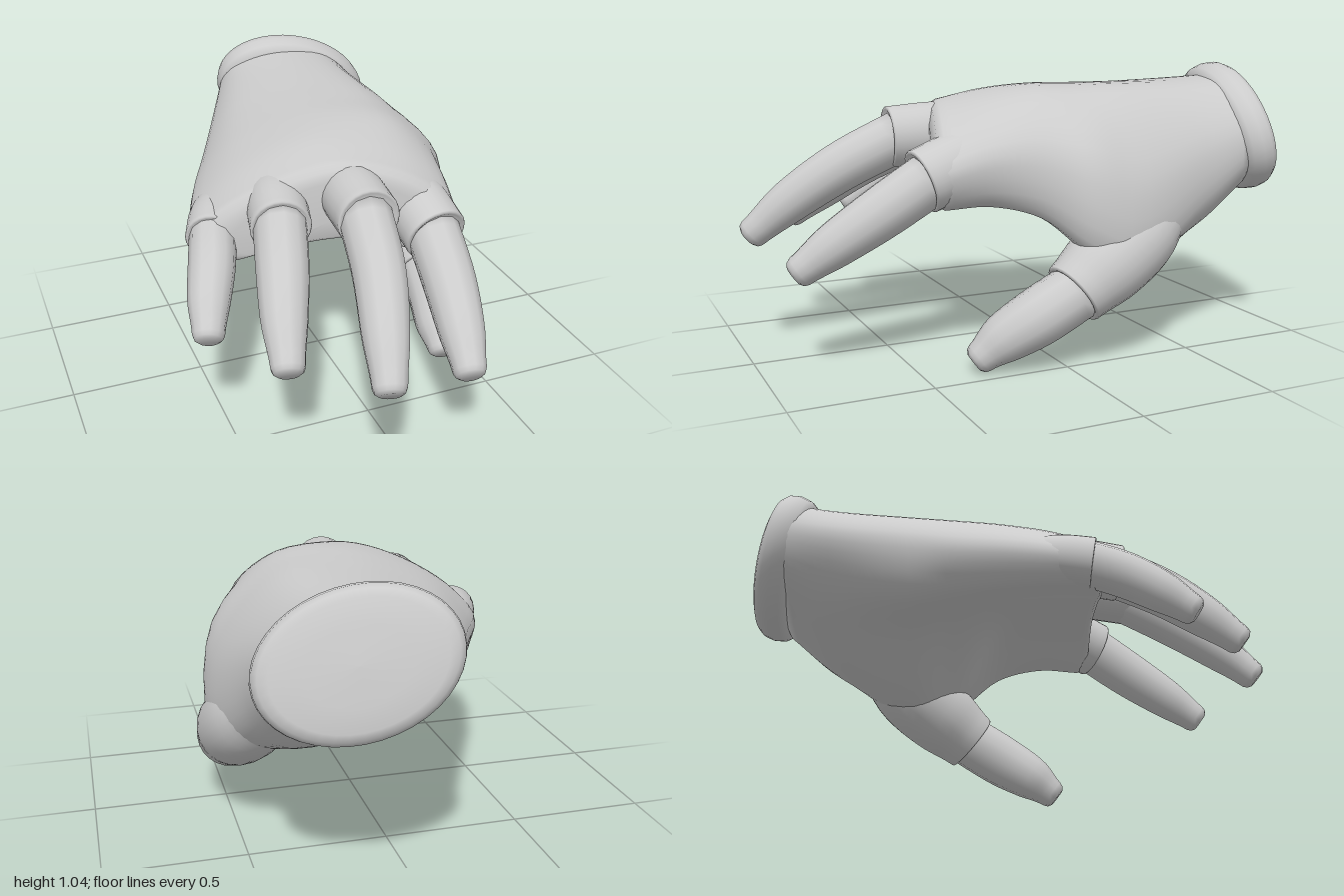
import * as THREE from 'three';

const V = (x, y, z) => new THREE.Vector3(x, y, z);
const material = new THREE.MeshStandardMaterial({ color: 0xcccccc, roughness: 0.8 });

// Skin a list of equal-sized rings (clockwise seen from the far end) and cap both ends
function skin(name, rings) {
  const n = rings[0].length, pos = [], index = [];
  rings.forEach(ring => ring.forEach(p => pos.push(p.x, p.y, p.z)));
  for (let i = 0; i < rings.length - 1; i++) {
    for (let j = 0; j < n; j++) {
      const k = (j + 1) % n;
      const a = i * n + j, b = i * n + k, c = a + n, d = b + n;
      index.push(a, c, b, b, c, d);
    }
  }
  const last = rings.length - 1;
  for (const r of [0, last]) {
    const mid = rings[r].reduce((s, p) => s.add(p), V(0, 0, 0)).divideScalar(n);
    const m = pos.length / 3;
    pos.push(mid.x, mid.y, mid.z);
    for (let j = 0; j < n; j++) {
      const a = r * n + j, b = r * n + (j + 1) % n;
      if (r === 0) index.push(m, a, b); else index.push(m, b, a);
    }
  }
  const geo = new THREE.BufferGeometry();
  geo.setAttribute('position', new THREE.Float32BufferAttribute(pos, 3));
  geo.setIndex(index);
  geo.computeVertexNormals();
  const mesh = new THREE.Mesh(geo, material);
  mesh.name = name;
  return mesh;
}

// Tapered tube through [x, y, z, radius] points; "ends" adds closing rings as [offset, scale] of the end radius
function limb(name, pts, ends, sides = 16, steps = 14) {
  const path = new THREE.CatmullRomCurve3(pts.map(p => V(p[0], p[1], p[2])));
  const radius = new THREE.SplineCurve(pts.map((p, i) => new THREE.Vector2(i, p[3])));
  const rings = [];
  const addRing = (t, offset, scale) => {
    const dir = path.getTangent(t);
    const r = radius.getPoint(t).y;
    const centre = path.getPoint(t).addScaledVector(dir, offset * r);
    const side = V(1, 0, 0).addScaledVector(dir, -dir.x).normalize();
    const up = dir.clone().cross(side);
    rings.push(Array.from({ length: sides }, (_, j) => {
      const a = j / sides * Math.PI * 2;
      return centre.clone()
        .addScaledVector(side, -Math.cos(a) * r * scale)
        .addScaledVector(up, Math.sin(a) * r * scale);
    }));
  };
  for (let i = 0; i <= steps; i++) addRing(i / steps, 0, 1);
  ends.forEach(([offset, scale]) => addRing(1, offset, scale));
  return skin(name, rings);
}

// Palm outlines from wrist to knuckles: little-finger edge, over the back, thumb edge, underside
const palmDepths = [-0.92, -0.72, -0.41, -0.24, -0.06, 0.12, 0.29];
const palmOutlines = [
  [[-.09, .82], [-.05, .93], [.05, .99], [.19, 1.0], [.34, .96], [.47, .82], [.48, .68], [.37, .58], [.13, .60], [-.04, .70]],
  [[-.17, .78], [-.11, .90], [.02, .97], [.17, .99], [.34, .95], [.495, .76], [.50, .54], [.37, .44], [.09, .52], [-.08, .63]],
  [[-.295, .73], [-.21, .87], [-.05, .95], [.11, .98], [.34, .95], [.56, .67], [.56, .36], [.34, .34], [.00, .50], [-.21, .56]],
  [[-.365, .70], [-.27, .85], [-.10, .94], [.09, .98], [.32, .95], [.54, .73], [.535, .42], [.33, .42], [-.05, .54], [-.27, .56]],
  [[-.44, .68], [-.33, .83], [-.15, .93], [.06, .98], [.29, .95], [.46, .77], [.43, .54], [.16, .59], [-.14, .59], [-.35, .56]],
  [[-.50, .66], [-.40, .79], [-.20, .91], [.00, .96], [.25, .915], [.415, .76], [.36, .58], [.08, .64], [-.20, .61], [-.42, .56]],
  [[-.54, .64], [-.44, .755], [-.21, .88], [.00, .925], [.23, .855], [.38, .71], [.31, .57], [.05, .64], [-.25, .61], [-.46, .56]],
];

function makePalm() {
  const around = 48, along = 36, slant = 0.3;
  const sections = palmOutlines.map((outline, i) => {
    const curve = new THREE.CatmullRomCurve3(
      outline.map(([x, y]) => V(x, y, palmDepths[i] + slant * x)), true);
    return Array.from({ length: around }, (_, j) => curve.getPoint(j / around));
  });
  const lines = Array.from({ length: around }, (_, j) =>
    new THREE.CatmullRomCurve3(sections.map(s => s[j])));
  const rings = Array.from({ length: along + 1 }, (_, i) => lines.map(l => l.getPoint(i / along)));
  // rounded front edge between the fingers
  const front = sections[sections.length - 1], centre = V(-0.06, 0.72, 0.27);
  for (const [scale, push] of [[0.93, 0.025], [0.75, 0.04]]) {
    rings.push(front.map(p => p.clone().lerp(centre, 1 - scale).add(V(0, 0, push))));
  }
  return skin('palm', rings);
}

// Rounded cuff closing the wrist, turned on a lathe and squashed to an oval
function makeCuff() {
  const profile = [[0, -.06], [.8, -.075], [.9, -.07], [.97, -.045], [1, -.005],
    [.98, .03], [.92, .052], [.82, .064], [.5, .074], [0, .078]];
  const geo = new THREE.LatheGeometry(profile.map(([r, y]) => new THREE.Vector2(r, y)), 40);
  geo.scale(0.335, 1, 0.24);
  const back = V(0.22, 0.25, -0.94).normalize();
  const wide = V(0.94, -0.28, 0.16);
  wide.addScaledVector(back, -wide.dot(back)).normalize();
  geo.applyMatrix4(new THREE.Matrix4().makeBasis(wide, back, wide.clone().cross(back)));
  geo.translate(0.21, 0.8, -0.87);
  const mesh = new THREE.Mesh(geo, material);
  mesh.name = 'cuff';
  return mesh;
}

// Each digit: glove sleeve path, then bare finger path, as [x, y, z, radius]
const digits = {
  littleFinger: {
    sleeve: [[-.36, .69, -.12, .06], [-.42, .67, .02, .09], [-.465, .65, .14, .096]],
    finger: [[-.45, .66, .10, .084], [-.50, .605, .25, .084], [-.55, .53, .37, .075], [-.583, .46, .465, .056]],
  },
  ringFinger: {
    sleeve: [[-.20, .77, .02, .085], [-.235, .765, .18, .107], [-.27, .745, .33, .108]],
    finger: [[-.26, .755, .29, .095], [-.32, .665, .48, .092], [-.37, .56, .63, .08], [-.403, .465, .75, .058]],
  },
  middleFinger: {
    sleeve: [[.02, .80, .08, .09], [.01, .805, .28, .113], [-.005, .795, .475, .112]],
    finger: [[-.003, .80, .43, .096], [-.045, .69, .65, .092], [-.10, .565, .83, .08], [-.14, .455, .955, .058]],
  },
  indexFinger: {
    sleeve: [[.24, .76, .08, .09], [.26, .73, .28, .115], [.27, .67, .45, .116]],
    finger: [[.27, .685, .41, .098], [.25, .565, .60, .094], [.22, .46, .76, .08], [.196, .38, .87, .058]],
  },
  thumb: {
    sleeve: [[.41, .56, -.48, .09], [.445, .455, -.32, .145], [.47, .36, -.165, .15], [.485, .27, -.03, .122]],
    finger: [[.485, .285, -.06, .104], [.465, .195, .10, .104], [.43, .12, .22, .088], [.413, .058, .30, .058]],
  },
};

export function createModel() {
  const group = new THREE.Group();
  group.name = 'glovedHand';
  group.add(makePalm(), makeCuff());
  for (const [name, { sleeve, finger }] of Object.entries(digits)) {
    const digit = new THREE.Group();
    digit.name = name;
    digit.add(
      limb(name + 'Sleeve', sleeve, [[0.04, 0.97], [0.05, 0.9], [0, 0.8]], 24),
      limb(name + 'Tip', finger, [[0.28, 0.88], [0.45, 0.62]], 12));
    group.add(digit);
  }
  return group;
}
